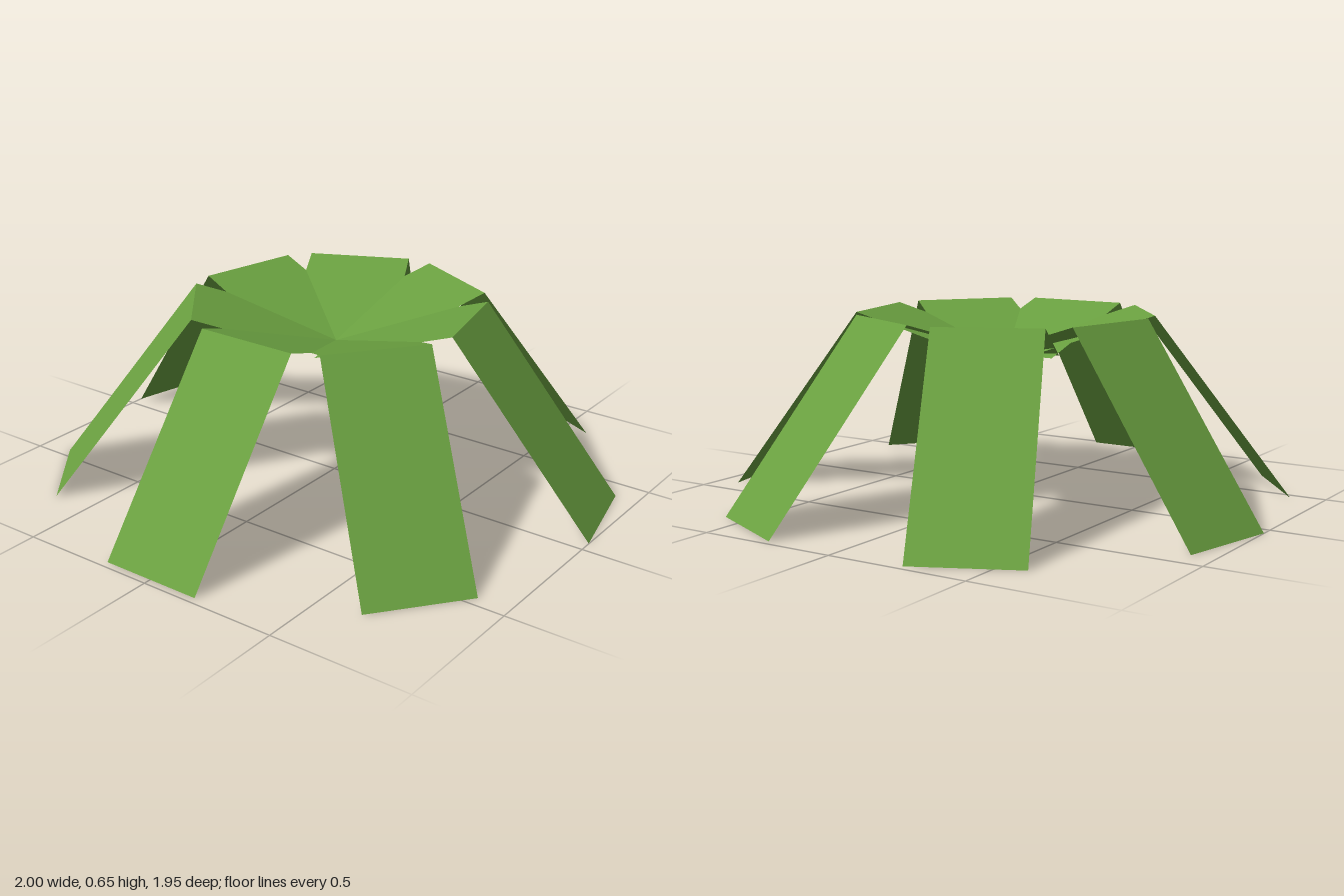
import * as THREE from 'three';

const LEAVES = 7;
const HALF_WIDTH = 0.185;
// Leaf midline as [distance from centre, height]: heart, fold, tip
const PROFILE = [[0, 0.497], [0.49, 0.648], [0.983, 0]];

// Folded strip running outwards along +z, with a sharp crease at the fold
function leafGeometry() {
  const positions = [];
  for (let i = 0; i < PROFILE.length - 1; i++) {
    const [z0, y0] = PROFILE[i];
    const [z1, y1] = PROFILE[i + 1];
    const a = [-HALF_WIDTH, y0, z0], b = [HALF_WIDTH, y0, z0];
    const c = [HALF_WIDTH, y1, z1], d = [-HALF_WIDTH, y1, z1];
    positions.push(...a, ...d, ...c, ...a, ...c, ...b);
  }
  const geometry = new THREE.BufferGeometry();
  geometry.setAttribute('position', new THREE.Float32BufferAttribute(positions, 3));
  geometry.computeVertexNormals();
  return geometry;
}

export function createModel() {
  const plant = new THREE.Group();
  plant.name = 'leafyPlant';
  const leafGreen = new THREE.MeshStandardMaterial({
    name: 'leafGreen', color: 0x6aa040, side: THREE.DoubleSide, flatShading: true,
  });
  const geometry = leafGeometry();

  // Ring of drooping leaves around the heart
  for (let i = 0; i < LEAVES; i++) {
    const leaf = new THREE.Mesh(geometry, leafGreen);
    leaf.name = `leaf${i + 1}`;
    leaf.position.z = -0.009;
    leaf.rotation.y = (i / LEAVES) * Math.PI * 2;
    plant.add(leaf);
  }
  return plant;
}
